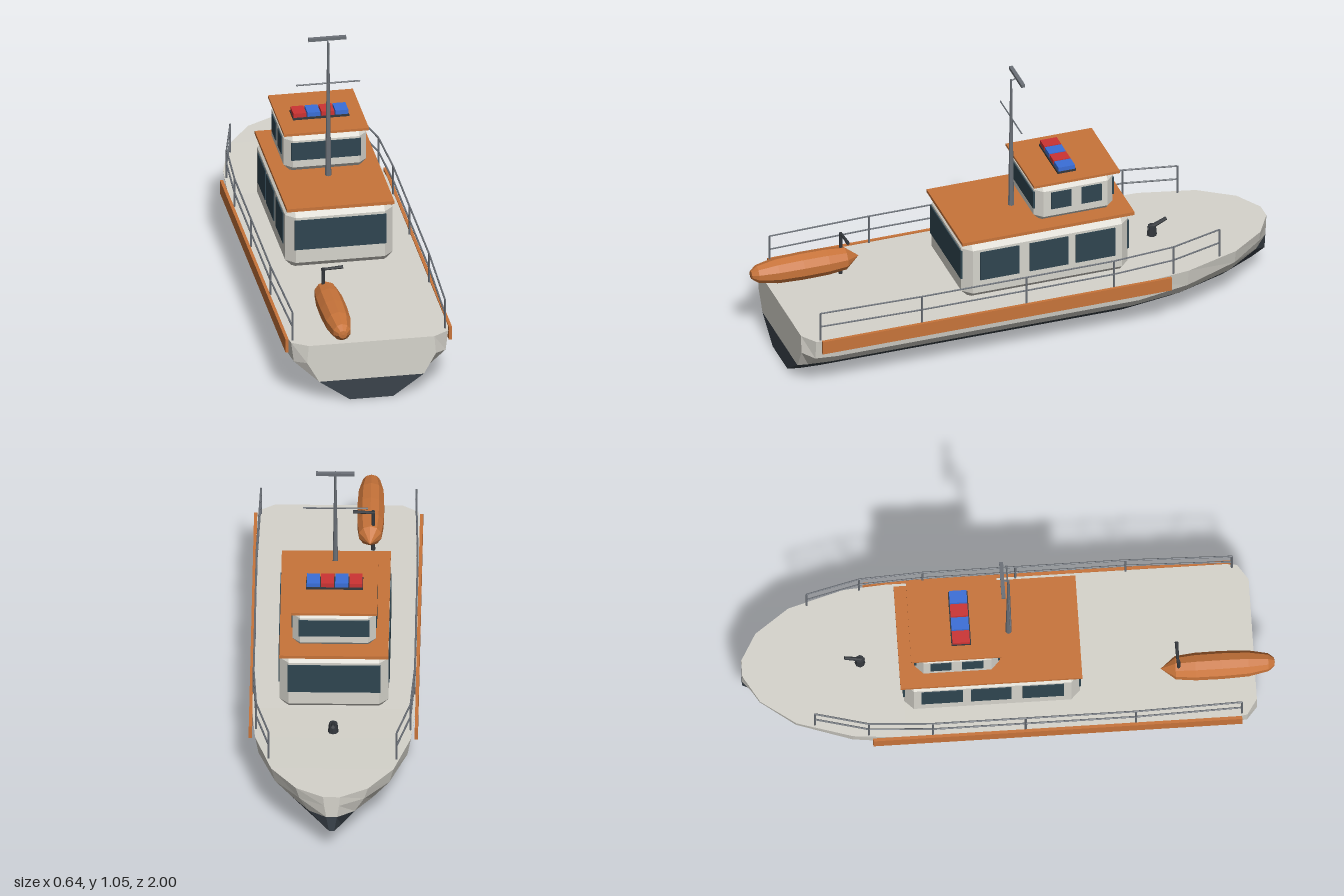
import * as THREE from 'three';
import { ConvexGeometry } from 'three/addons/geometries/ConvexGeometry.js';

const mat = (color) => new THREE.MeshStandardMaterial({ color, flatShading: true });
const M = {
  paint: mat(0xd6d4cc), bottom: mat(0x3a424a), orange: mat(0xc8743a), glass: mat(0x2f4550),
  steel: mat(0x6b7077), dark: mat(0x33373c), red: mat(0xcc3333), blue: mat(0x3b6fd8),
};

function add(parent, name, geo, material, x = 0, y = 0, z = 0) {
  const mesh = new THREE.Mesh(geo, material);
  mesh.name = name;
  mesh.position.set(x, y, z);
  parent.add(mesh);
  return mesh;
}

// Box given by its limits on each axis
function box(parent, name, material, [x0, x1], [y0, y1], [z0, z1]) {
  return add(parent, name, new THREE.BoxGeometry(x1 - x0, y1 - y0, z1 - z0), material,
    (x0 + x1) / 2, (y0 + y1) / 2, (z0 + z1) / 2);
}

// Round bar between two points
function bar(parent, name, material, a, b, r0, r1 = r0, sides = 6) {
  const p = new THREE.Vector3(...a), q = new THREE.Vector3(...b);
  const mesh = add(parent, name, new THREE.CylinderGeometry(r1, r0, p.distanceTo(q), sides), material);
  mesh.position.copy(p).lerp(q, 0.5);
  mesh.quaternion.setFromUnitVectors(new THREE.Vector3(0, 1, 0), q.sub(p).normalize());
  return mesh;
}

// Box with every edge cut off by c
function chamferBox(w, h, d, c) {
  const pts = [];
  for (const x of [-w / 2, w / 2]) for (const y of [-h / 2, h / 2]) for (const z of [-d / 2, d / 2]) {
    const sx = Math.sign(x) * c, sy = Math.sign(y) * c, sz = Math.sign(z) * c;
    pts.push(new THREE.Vector3(x, y - sy, z - sz), new THREE.Vector3(x - sx, y, z - sz),
      new THREE.Vector3(x - sx, y - sy, z));
  }
  return new ConvexGeometry(pts);
}

// Hull sections from stern to bow: z, then half width and height at deck, chine, waterline, keel
const SECTIONS = [
  [0.925, 0.24, 0.236, 0.246, 0.165, 0.2, 0.083, 0.083, 0],
  [0.885, 0.3, 0.236, 0.29, 0.157, 0.207, 0.083, 0.095, 0],
  [0.8, 0.312, 0.236, 0.3, 0.157, 0.215, 0.083, 0.1, 0],
  [-0.4, 0.309, 0.238, 0.298, 0.157, 0.213, 0.083, 0.1, 0],
  [-0.6, 0.293, 0.244, 0.28, 0.173, 0.2, 0.095, 0.092, 0.018],
  [-0.81, 0.23, 0.251, 0.215, 0.193, 0.152, 0.122, 0.07, 0.055],
  [-0.94, 0.136, 0.254, 0.122, 0.208, 0.086, 0.15, 0.036, 0.087],
  [-1, 0.032, 0.255, 0.028, 0.215, 0.02, 0.163, 0.01, 0.1],
];

function buildHull(group) {
  const rings = SECTIONS.map(([z, ...s]) => {
    const half = [0, 2, 4, 6].map((i) => [s[i], s[i + 1], z]);
    return [...half, ...half.map(([x, y]) => [-x, y, z]).reverse()];
  });
  const topsides = [], bottom = [];
  const quad = (list, a, b, c, d) => list.push(...a, ...b, ...c, ...a, ...c, ...d);
  for (let i = 0; i < rings.length - 1; i++) {
    const A = rings[i], B = rings[i + 1];
    for (let k = 0; k < 8; k++) {
      const n = (k + 1) % 8;
      quad(k >= 2 && k <= 4 ? bottom : topsides, A[k], A[n], B[n], B[k]);
    }
  }
  // Transom and stem plates
  const S = rings[0], E = rings[rings.length - 1];
  for (let r = 0; r < 3; r++) {
    const list = r === 2 ? bottom : topsides;
    quad(list, S[7 - r], S[6 - r], S[r + 1], S[r]);
    quad(list, E[r], E[r + 1], E[6 - r], E[7 - r]);
  }
  for (const [name, list, m] of [['hullTopsidesAndDeck', topsides, M.paint], ['hullBottom', bottom, M.bottom]]) {
    const g = new THREE.BufferGeometry();
    g.setAttribute('position', new THREE.Float32BufferAttribute(list, 3));
    g.computeVertexNormals();
    add(group, name, g, m);
  }
}

// Cabin block with end windows, side windows and an overhanging roof
function buildCabin(group, name, o) {
  const cabin = new THREE.Group();
  cabin.name = name;
  group.add(cabin);
  const [y0, y1] = o.y, [z0, z1] = o.z, t = 0.004;
  add(cabin, 'walls', chamferBox(o.w * 2, y1 - y0, z1 - z0, o.c), M.paint, 0, (y0 + y1) / 2, (z0 + z1) / 2);
  for (const z of [z0, z1]) box(cabin, 'endWindow', M.glass, [-o.winW, o.winW], o.winY, [z - t, z + t]);
  for (const side of [-1, 1]) for (const wz of o.sideWindows) {
    const x = side * o.w;
    box(cabin, 'sideWindow', M.glass, [x - t, x + t], o.winY, wz);
  }
  box(cabin, 'roof', M.orange, [-o.roofW, o.roofW], o.roofY, o.roofZ);
}

function buildRailing(group, side) {
  const rail = new THREE.Group();
  rail.name = side > 0 ? 'leftRailing' : 'rightRailing';
  group.add(rail);
  // Post feet: x, deck height, z
  const posts = [[0.292, 0.235, 0.865], [0.303, 0.235, 0.465], [0.303, 0.235, 0.05],
    [0.303, 0.236, -0.3], [0.29, 0.241, -0.54], [0.24, 0.248, -0.74]];
  const at = ([x, y, z], h) => [x * side, y + h, z];
  posts.forEach((p, i) => {
    bar(rail, 'post', M.steel, at(p, 0), at(p, 0.118), 0.004);
    if (i === 0) return;
    for (const h of [0.06, 0.118]) bar(rail, 'rail', M.steel, at(posts[i - 1], h), at(p, h), 0.0035);
  });
}

export function createModel() {
  const boat = new THREE.Group();
  boat.name = 'patrolBoat';
  buildHull(boat);

  for (const side of [-1, 1]) {
    const x = side * 0.312;
    box(boat, 'rubbingStrake', M.orange, [x - 0.006, x + 0.006], [0.187, 0.241], [-0.525, 0.865]);
    buildRailing(boat, side);
  }

  buildCabin(boat, 'mainCabin', {
    w: 0.205, y: [0.225, 0.482], z: [-0.4, 0.263], c: 0.035, winW: 0.175, winY: [0.315, 0.437],
    sideWindows: [[0.045, 0.2], [-0.15, 0.003], [-0.337, -0.18]],
    roofW: 0.205, roofY: [0.477, 0.49], roofZ: [-0.415, 0.27],
  });
  buildCabin(boat, 'wheelhouse', {
    w: 0.157, y: [0.48, 0.65], z: [-0.355, -0.04], c: 0.03, winW: 0.133, winY: [0.54, 0.612],
    sideWindows: [[-0.18, -0.1], [-0.3, -0.22]],
    roofW: 0.162, roofY: [0.646, 0.656], roofZ: [-0.372, -0.03],
  });

  // Signal lights
  box(boat, 'lightBarBase', M.dark, [-0.107, 0.107], [0.655, 0.664], [-0.217, -0.143]);
  for (let i = 0; i < 4; i++) {
    const x = -0.105 + i * 0.0535;
    box(boat, 'signalLight', i % 2 ? M.blue : M.red, [x, x + 0.049], [0.662, 0.681], [-0.213, -0.147]);
  }

  // Mast with yard and radar bar
  bar(boat, 'mast', M.steel, [0, 0.485, 0.005], [0, 1.042, 0.005], 0.012, 0.004, 8);
  bar(boat, 'yard', M.steel, [-0.122, 0.874, 0.005], [0.122, 0.874, 0.005], 0.003);
  box(boat, 'radarBar', M.steel, [-0.072, 0.072], [1.043, 1.055], [-0.026, -0.011]);
  bar(boat, 'radarBracket', M.steel, [0, 1.036, 0.005], [0, 1.046, -0.018], 0.003);

  // Lifeboat pod hung over the stern
  const profile = [[0, 0.57], [0.044, 0.625], [0.052, 0.7], [0.053, 0.8], [0.049, 0.9], [0.034, 0.975], [0.016, 0.998], [0, 1]];
  const pod = new THREE.LatheGeometry(profile.map(([r, z]) => new THREE.Vector2(r, z)), 10);
  pod.rotateX(Math.PI / 2);
  add(boat, 'lifeboat', pod, M.orange, -0.122, 0.308, 0);
  bar(boat, 'davitPost', M.dark, [-0.133, 0.232, 0.637], [-0.133, 0.415, 0.637], 0.008, 0.006, 8);
  bar(boat, 'davitArm', M.dark, [-0.14, 0.408, 0.634], [-0.057, 0.412, 0.634], 0.005, 0.007, 8);

  // Foredeck water cannon
  bar(boat, 'cannonBase', M.dark, [0, 0.235, -0.555], [0, 0.282, -0.555], 0.021, 0.016, 8);
  bar(boat, 'cannonBarrel', M.dark, [0, 0.27, -0.54], [0, 0.303, -0.613], 0.009, 0.007, 8);

  return boat;
}
